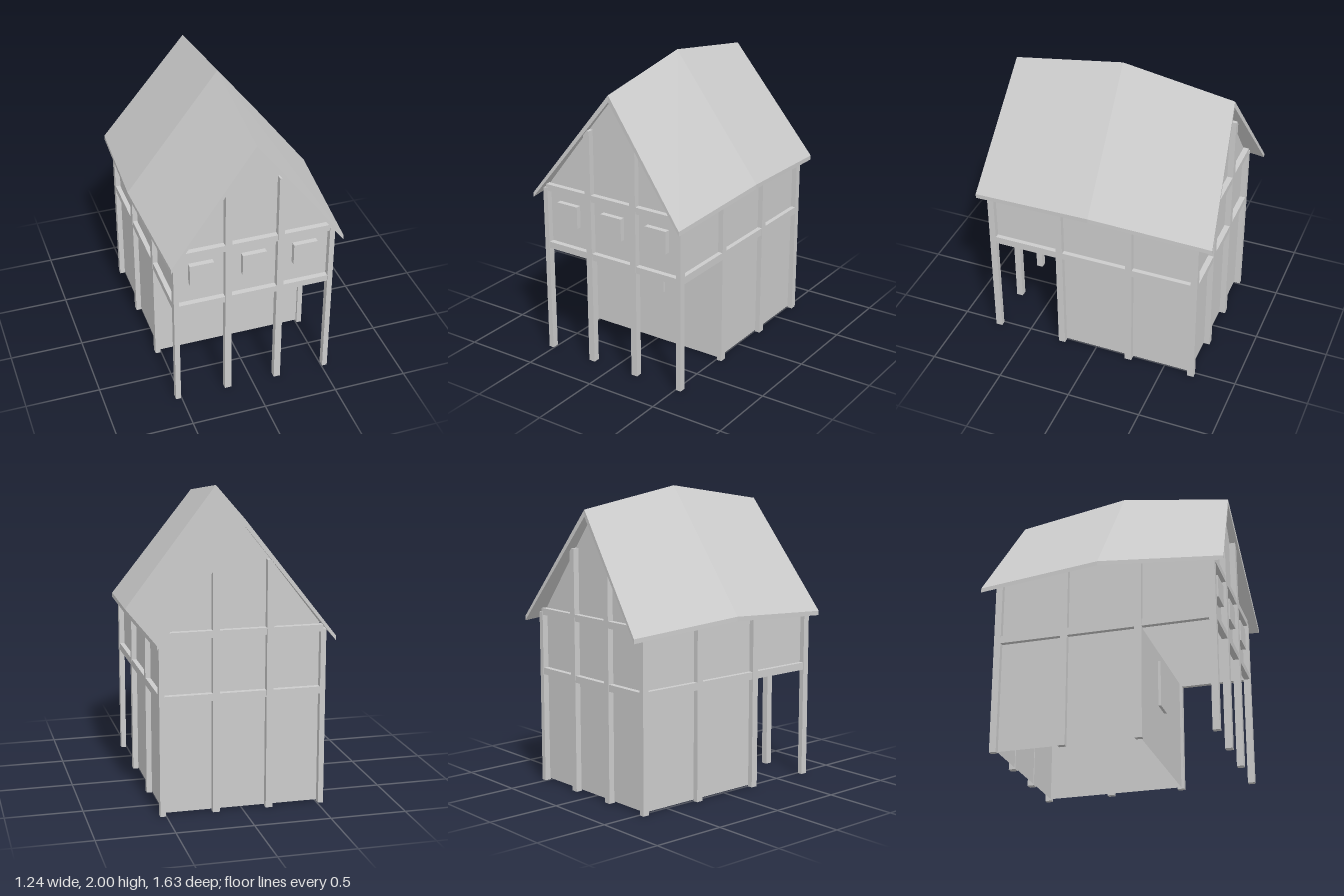
import * as THREE from 'three';

const grey = new THREE.MeshStandardMaterial({ color: 0xcccccc, flatShading: true, side: THREE.DoubleSide });

export function createModel() {
  const house = new THREE.Group();
  house.name = 'timberFrameHouse';

  const add = (name, geometry) => {
    const mesh = new THREE.Mesh(geometry, grey);
    mesh.name = name;
    house.add(mesh);
    return mesh;
  };
  // Box given by its limits on each axis
  const box = (name, x0, x1, y0, y1, z0, z1) =>
    add(name, new THREE.BoxGeometry(x1 - x0, y1 - y0, z1 - z0))
      .position.set((x0 + x1) / 2, (y0 + y1) / 2, (z0 + z1) / 2);
  // Thin wall from an outline
  const panel = (points) =>
    new THREE.ShapeGeometry(new THREE.Shape(points.map(([a, b]) => new THREE.Vector2(a, b))));

  const W = 0.505, frontZ = 0.71, lowerZ = 0.25, backZ = -0.68;

  // Plaster walls, open underneath
  const gable = (bottom) => panel([[-W, bottom], [W, bottom], [W, 1.2], [0, 1.85], [-W, 1.2]]);
  add('frontUpperWall', gable(0.765)).position.z = frontZ;
  add('backWall', gable(0.01)).position.z = backZ;
  add('frontLowerWall', panel([[-W, 0.01], [W, 0.01], [W, 0.765], [-W, 0.765]])).position.z = lowerZ;
  for (const s of [-1, 1]) {
    const side = panel([[backZ, 0.01], [lowerZ, 0.01], [lowerZ, 0.765], [frontZ, 0.765],
      [frontZ, 1.2], [0, 1.31], [backZ, 1.2]]);
    add(s > 0 ? 'leftWall' : 'rightWall', side.rotateY(-Math.PI / 2)).position.x = s * W;
  }

  // Posts and cross beams of the two gable ends
  for (const [end, z0, z1] of [['front', 0.705, 0.75], ['back', -0.72, -0.675]]) {
    for (const x of [-0.54, 0.505]) box(end + 'CornerPost', x, x + 0.035, 0, 1.165, z0, z1);
    for (const x of [-0.197, 0.152]) box(end + 'InnerPost', x, x + 0.045, 0, 1.62, z0, z1);
    for (const y of [0.74, 1.145]) box(end + 'Beam', -0.52, 0.52, y, y + 0.045, z0 + 0.003, z1 - 0.003);
  }

  // Posts and beam of each long side
  for (const x of [-0.54, 0.505]) {
    for (const z of [0.222, -0.27]) box('sidePost', x, x + 0.035, 0, 1.23, z, z + 0.047);
    box('sideBeam', x + 0.002, x + 0.033, 0.74, 0.79, -0.7, 0.73);
  }

  // Window blocks and the small hatch under the overhang
  for (const x of [-0.35, 0, 0.345]) box('window', x - 0.08, x + 0.08, 0.93, 1.08, 0.7, 0.745);
  box('hatch', -0.072, 0.072, 0.38, 0.695, 0.24, 0.268);

  add('roof', roofGeometry());
  return house;
}

// Bowed gable roof: three cross-sections, joined and capped
function roofGeometry() {
  const section = (ridgeY, ridgeZ, eaveX, eaveY, eaveZ) => [
    [-eaveX, eaveY, eaveZ], [0, ridgeY, ridgeZ], [eaveX, eaveY, eaveZ],
    [eaveX, eaveY - 0.03, eaveZ], [0, ridgeY - 0.045, ridgeZ], [-eaveX, eaveY - 0.03, eaveZ]];
  const sections = [
    section(1.88, -0.745, 0.57, 1.14, -0.815),
    section(2, 0, 0.62, 1.195, 0),
    section(1.88, 0.745, 0.57, 1.14, 0.815)];
  const index = [];
  const quad = (a, b, c, d) => index.push(a, b, c, a, c, d);
  for (let s = 0; s < 2; s++) {
    for (let i = 0; i < 6; i++) {
      const a = s * 6 + i, b = s * 6 + (i + 1) % 6;
      quad(a, a + 6, b + 6, b);
    }
  }
  quad(0, 1, 4, 5);
  quad(1, 2, 3, 4);
  quad(17, 16, 13, 12);
  quad(16, 15, 14, 13);
  const geometry = new THREE.BufferGeometry();
  geometry.setAttribute('position', new THREE.Float32BufferAttribute(sections.flat(2), 3));
  geometry.setIndex(index);
  const flat = geometry.toNonIndexed();
  flat.computeVertexNormals();
  return flat;
}
